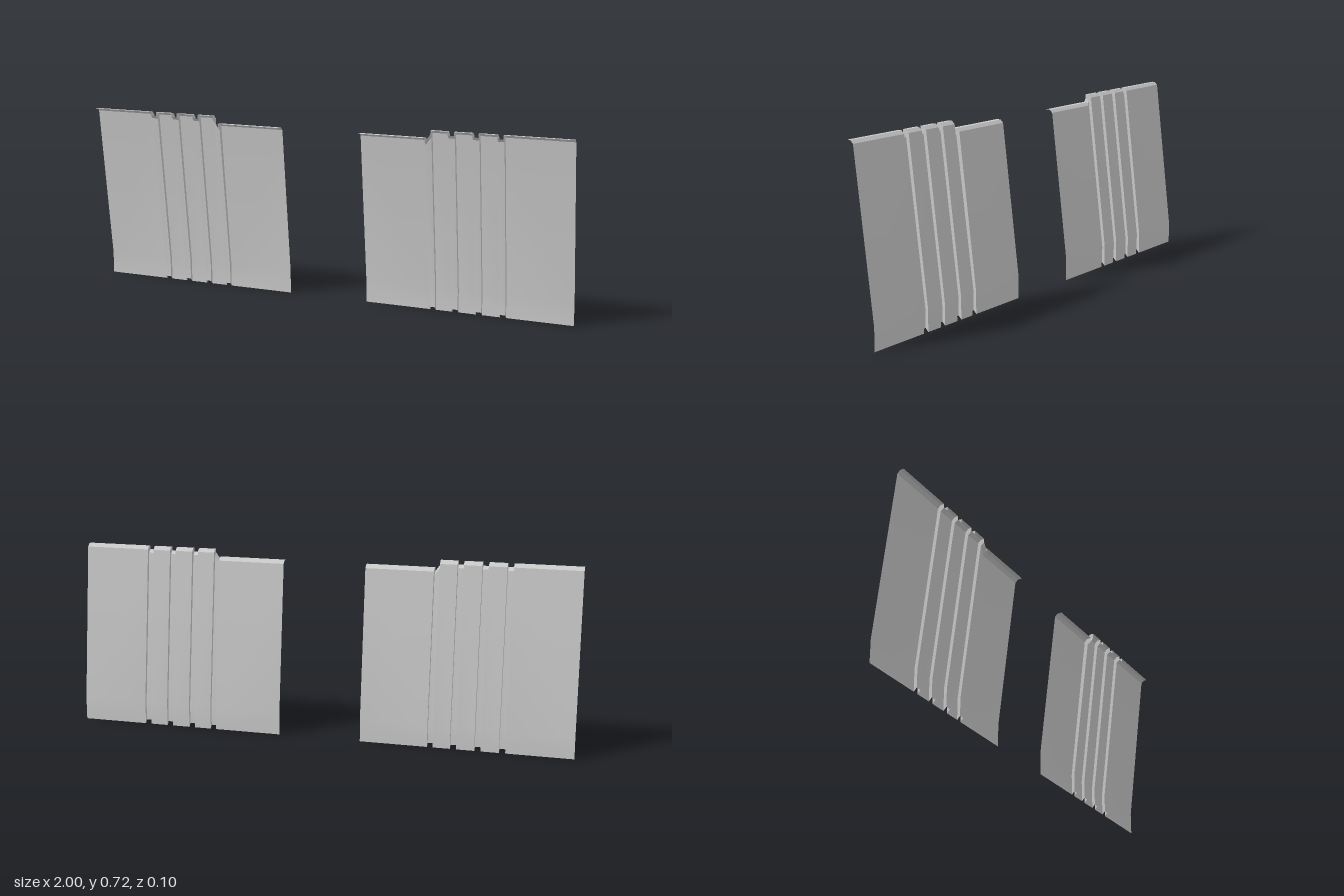
import * as THREE from 'three';
import { toCreasedNormals } from 'three/addons/utils/BufferGeometryUtils.js';

// Side profiles as [z, y], from the bottom edge up to the folded lip
const TALL = [[-0.05, 0], [-0.05, 0.087], [0.025, 0.708], [0.037, 0.72], [0.051, 0.72]];
const TALL_GROOVE = [[-0.038, 0.013], [-0.038, 0.083], [0.037, 0.693], [0.044, 0.699], [0.051, 0.705]];
const LOW = [[-0.05, 0], [-0.05, 0.087], [0.021, 0.678], [0.033, 0.69], [0.051, 0.69]];
const LOW_GROOVE = [[-0.038, 0.013], [-0.038, 0.083], [0.035, 0.663], [0.043, 0.669], [0.051, 0.675]];

// Thin pressed sheet: successive profiles along x, joined by quads
function sheetGeometry(side) {
  const sections = [[0.165, LOW], [0.434, LOW], [0.434, LOW_GROOVE], [0.456, TALL_GROOVE], [0.456, TALL]];
  for (const x of [0.524, 0.619, 0.714]) {
    sections.push([x, TALL], [x, TALL_GROOVE], [x + 0.024, TALL_GROOVE], [x + 0.024, TALL]);
  }
  sections.push([1, TALL]);

  const positions = [];
  const index = [];
  const n = TALL.length;
  for (const [x, profile] of sections) {
    for (const [z, y] of profile) positions.push(side * x, y, z);
  }
  for (let i = 0; i < sections.length - 1; i++) {
    for (let j = 0; j < n - 1; j++) {
      const a = i * n + j, b = a + n, c = b + 1, d = a + 1;
      if (side > 0) index.push(a, b, d, b, c, d);
      else index.push(a, d, b, b, d, c);
    }
  }
  const geometry = new THREE.BufferGeometry();
  geometry.setAttribute('position', new THREE.Float32BufferAttribute(positions, 3));
  geometry.setIndex(index);
  // Soft lower bend, crisp grooves and lip
  return toCreasedNormals(geometry, Math.PI / 6);
}

export function createModel() {
  const group = new THREE.Group();
  group.name = 'groovedPanels';
  const material = new THREE.MeshStandardMaterial({ color: 0xcccccc, side: THREE.DoubleSide });
  for (const [name, side] of [['leftPanel', 1], ['rightPanel', -1]]) {
    const panel = new THREE.Mesh(sheetGeometry(side), material);
    panel.name = name;
    group.add(panel);
  }
  return group;
}
